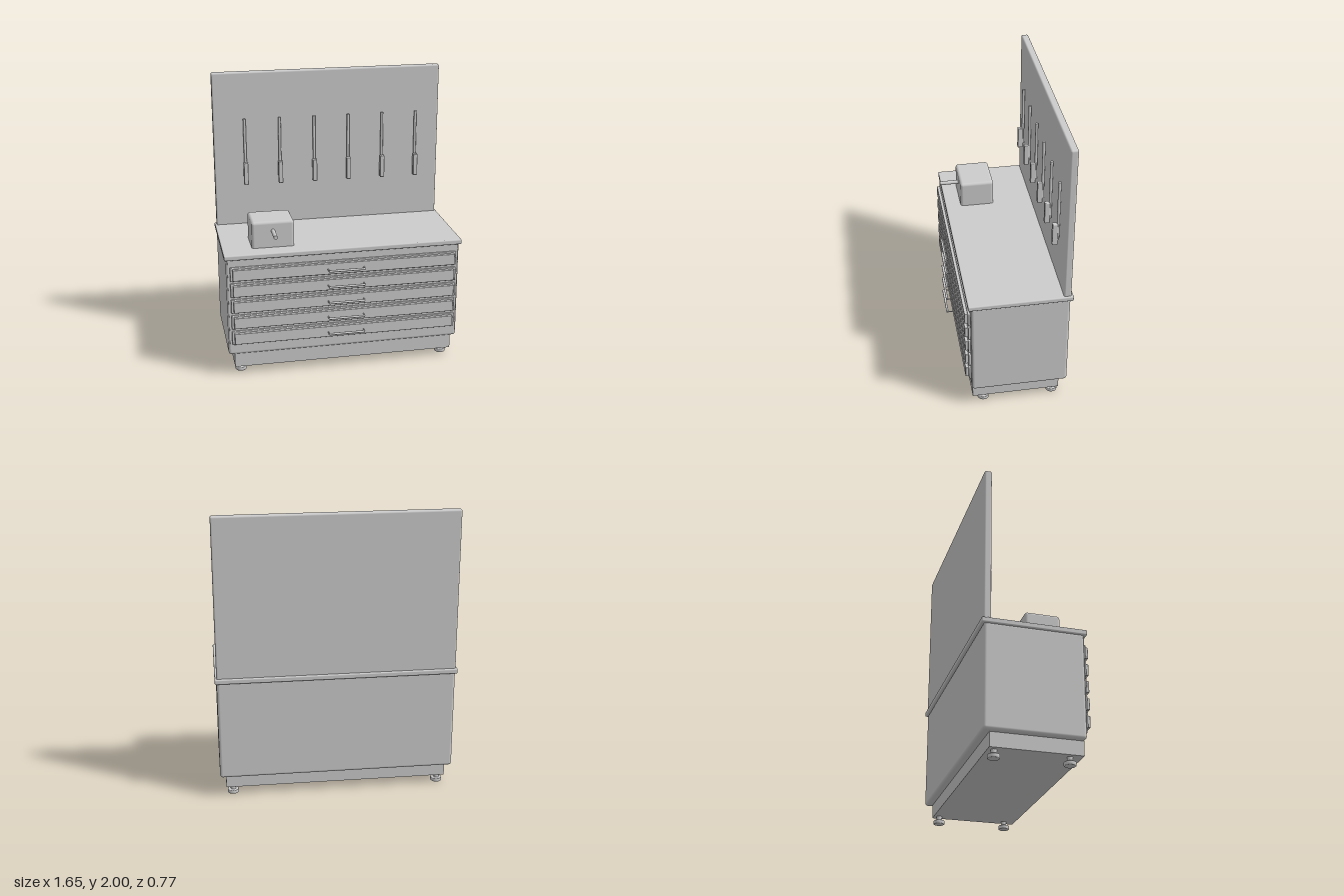
import * as THREE from 'three';
import { RoundedBoxGeometry } from 'three/addons/geometries/RoundedBoxGeometry.js';

const grey = new THREE.MeshStandardMaterial({ color: 0xcccccc });
grey.name = 'light grey';

export function createModel() {
  const model = new THREE.Group();
  model.name = 'workbench';

  const add = (name, geometry, x, y, z, parent = model) => {
    const mesh = new THREE.Mesh(geometry, grey);
    mesh.name = name;
    mesh.position.set(x, y, z);
    parent.add(mesh);
    return mesh;
  };
  // Box given by its minimum and maximum corners; r > 0 rounds its edges
  const box = (name, [x0, y0, z0], [x1, y1, z1], r = 0, parent = model) => {
    const size = [x1 - x0, y1 - y0, z1 - z0];
    const geometry = r ? new RoundedBoxGeometry(...size, 4, r) : new THREE.BoxGeometry(...size);
    return add(name, geometry, (x0 + x1) / 2, (y0 + y1) / 2, (z0 + z1) / 2, parent);
  };
  const group = (name) => {
    const g = new THREE.Group();
    g.name = name;
    model.add(g);
    return g;
  };

  // Cabinet, plinth, worktop and back board
  box('plinth', [-0.774, 0.058, -0.317], [0.774, 0.17, 0.285]);
  box('cabinet', [-0.815, 0.155, -0.367], [0.815, 0.868, 0.293], 0.02);
  box('frontPlate', [-0.804, 0.2, 0.27], [0.804, 0.858, 0.296]);
  box('worktop', [-0.827, 0.859, -0.384], [0.827, 0.895, 0.313], 0.009);
  box('backBoard', [-0.815, 0.885, -0.37], [0.815, 2, -0.32], 0.012);

  // Drawers, each with a stepped front and a bar handle
  for (let i = 0; i < 5; i++) {
    const y = 0.288 + i * 0.1173;
    const drawer = group('drawer');
    box('drawerFrame', [-0.79, y - 0.05, 0.28], [0.79, y + 0.05, 0.311], 0.006, drawer);
    box('drawerFront', [-0.774, y - 0.04, 0.3], [0.774, y + 0.04, 0.332], 0.005, drawer);
    const bar = add('handleBar', new THREE.CylinderGeometry(0.008, 0.008, 0.25, 16), 0, y, 0.374, drawer);
    bar.rotation.z = Math.PI / 2;
    for (const side of [-1, 1]) {
      const post = add('handlePost', new THREE.CylinderGeometry(0.004, 0.004, 0.036, 12), side * 0.125, y, 0.355, drawer);
      post.rotation.x = Math.PI / 2;
    }
  }

  // Levelling feet
  const padProfile = [[0, 0], [0.034, 0], [0.039, 0.004], [0.039, 0.024], [0.035, 0.028], [0, 0.028]]
    .map(([r, y]) => new THREE.Vector2(r, y));
  for (const x of [-0.726, 0.726]) {
    for (const z of [-0.277, 0.206]) {
      const foot = group('foot');
      add('footPad', new THREE.LatheGeometry(padProfile, 32), x, 0, z, foot);
      add('footStem', new THREE.CylinderGeometry(0.019, 0.019, 0.04, 24), x, 0.045, z, foot);
    }
  }

  // Hanging tools
  for (let i = 0; i < 6; i++) {
    const x = -0.597 + i * 0.2475;
    const tool = group('tool');
    add('toolShaft', new THREE.CylinderGeometry(0.01, 0.01, 0.44, 16), x, 1.453, -0.302, tool);
    box('toolHandle', [x - 0.016, 1.2, -0.3], [x + 0.016, 1.36, -0.263], 0.006, tool);
  }

  // Vice block with its screw rod
  const vice = group('vice');
  box('viceBlock', [-0.625, 0.865, -0.039], [-0.333, 1.08, 0.202], 0.02, vice);
  const rod = add('viceRod', new THREE.CylinderGeometry(0.014, 0.014, 0.237, 24), -0.479, 1.013, 0.2185, vice);
  rod.rotation.x = Math.PI / 2;

  return model;
}
